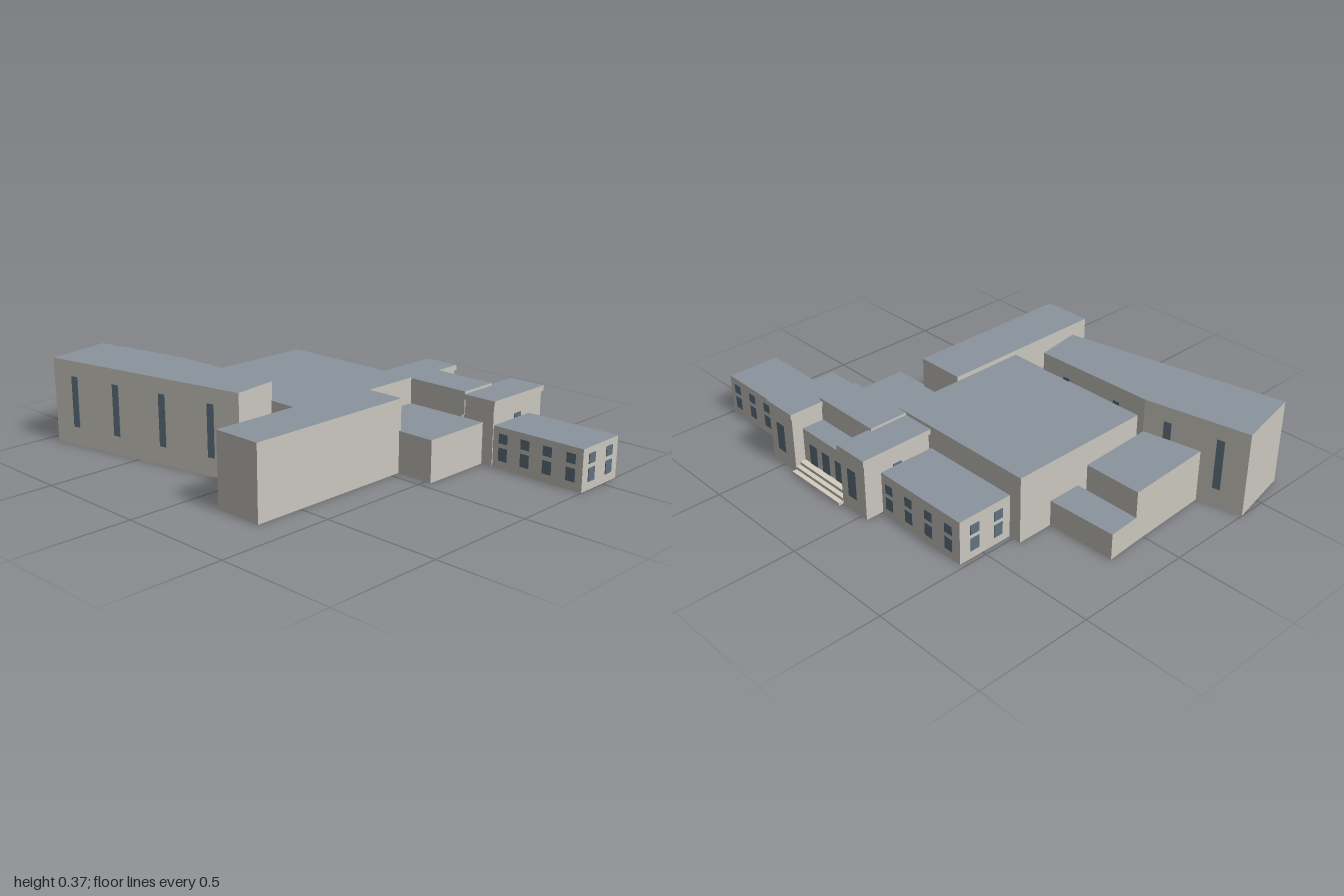
import * as THREE from 'three';

const material = (name, color, side = THREE.DoubleSide) => {
  const m = new THREE.MeshStandardMaterial({ color, side });
  m.name = name;
  return m;
};

export function createModel() {
  const wall = material('wall stone', 0xcac7be);
  const roof = material('roof slate', 0x8b959d);
  const glass = material('window glass', 0x61727f, THREE.FrontSide);
  const stone = material('step stone', 0xd3cdc1, THREE.FrontSide);

  const model = new THREE.Group();
  model.name = 'building';

  const add = (parent, name, geometry, mat) => {
    const mesh = new THREE.Mesh(geometry, mat);
    mesh.name = name;
    parent.add(mesh);
    return mesh;
  };

  // Hollow block, open below; footprint corners [x, z] run NW, SW, SE, NE
  function block(name, points, top, bottom = 0) {
    const group = new THREE.Group();
    group.name = name;
    model.add(group);
    const pos = [];
    points.forEach(([ax, az], i) => {
      const [bx, bz] = points[(i + 1) % points.length];
      pos.push(ax, bottom, az, bx, bottom, bz, bx, top, bz);
      pos.push(ax, bottom, az, bx, top, bz, ax, top, az);
    });
    const sides = new THREE.BufferGeometry();
    sides.setAttribute('position', new THREE.Float32BufferAttribute(pos, 3));
    sides.computeVertexNormals();
    add(group, 'walls', sides, wall);
    const shape = new THREE.Shape(points.map(([x, z]) => new THREE.Vector2(x, -z)));
    const lid = new THREE.ShapeGeometry(shape).rotateX(-Math.PI / 2).translate(0, top, 0);
    add(group, 'roof', lid, roof);
    return group;
  }

  const rect = (x0, x1, z0, z1) => [[x0, z0], [x0, z1], [x1, z1], [x1, z0]];

  // Thin pane on a wall; angle turns its face from +z about the vertical
  function pane(parent, x, z, y0, y1, width, angle) {
    const p = add(parent, 'window', new THREE.BoxGeometry(width, y1 - y0, 0.006), glass);
    p.position.set(x, (y0 + y1) / 2, z);
    p.rotation.y = angle;
  }
  const EAST = Math.PI / 2, WEST = -Math.PI / 2, NORTH = Math.PI, SOUTH = 0;

  // Two storeys of windows
  function storeys(parent, x, z, angle) {
    pane(parent, x, z, 0.108, 0.149, 0.042, angle);
    pane(parent, x, z, 0.035, 0.09, 0.042, angle);
  }

  // Main hall and plain blocks around it
  block('mainHall', rect(-0.28, 0.36, -0.535, 0.145), 0.287);
  block('westWing', rect(-0.71, 0.052, 0.145, 0.36), 0.307);
  block('southAnnex', rect(0.042, 0.36, 0.145, 0.525), 0.175);
  block('rearAnnex', [[-0.333, -0.81], [-0.285, -0.565], [0.05, -0.577], [0.05, -0.827]], 0.225);
  block('lowRearAnnex', [[0.05, -0.827], [0.05, -0.535], [0.2, -0.535], [0.19, -0.836]], 0.112);

  // Skewed auditorium with tall slit windows along both long sides
  const nw = [-0.667, -0.942], sw = [-0.477, 0.005], se = [-0.275, -0.026];
  const bend = [-0.288, -0.56], ne = [-0.376, -1];
  const auditorium = block('auditorium', [nw, sw, se, bend, ne], 0.365);
  function slit(a, b, z) {
    const dx = b[0] - a[0], dz = b[1] - a[1];
    const x = a[0] + dx * (z - a[1]) / dz;
    pane(auditorium, x, z, 0.08, 0.3, 0.033, Math.atan2(-dz, dx));
  }
  for (const z of [-0.83, -0.61, -0.37, -0.13]) slit(nw, sw, z);
  for (const z of [-0.42, -0.155]) slit(se, bend, z);
  for (const z of [-0.885, -0.663]) slit(bend, ne, z);

  // Low classroom wings either side of the entrance
  const southWing = block('southWing', rect(0.36, 0.597, 0.58, 1), 0.175);
  for (const z of [0.948, 0.84, 0.735, 0.63]) {
    storeys(southWing, 0.597, z, EAST);
    storeys(southWing, 0.36, z, WEST);
  }
  const northWing = block('northWing', rect(0.36, 0.61, -0.48, -0.04), 0.187);
  for (const z of [-0.085, -0.197, -0.31, -0.42]) storeys(northWing, 0.61, z, EAST);
  for (const x of [0.42, 0.538]) {
    storeys(southWing, x, 1, SOUTH);
    storeys(northWing, x, -0.48, NORTH);
  }

  // Entrance towers with overhanging cornices
  for (const [side, z0, z1, outer, angle] of [
    ['south', 0.42, 0.575, 0.573, SOUTH],
    ['north', -0.035, 0.115, -0.033, NORTH],
  ]) {
    const tower = block(side + 'Tower', rect(0.365, 0.684, z0 + 0.002, z1 - 0.002), 0.25);
    const mid = (z0 + z1) / 2;
    pane(tower, 0.684, mid + (side === 'south' ? 0.007 : 0.005), 0.065, 0.192, 0.05, EAST);
    pane(tower, 0.525, outer, 0.065, 0.192, 0.042, angle);
    const cornice = block(side + 'Cornice', rect(0.36, 0.692, z0 - 0.005, z1 + 0.005), 0.273, 0.25);
    const soffit = new THREE.PlaneGeometry(0.332, z1 - z0 + 0.01).rotateX(Math.PI / 2);
    add(cornice, 'soffit', soffit, wall).position.set(0.526, 0.25, mid);
  }

  // Entrance hall between the towers, with doors and raised upper storey
  const porch = block('entranceHall', rect(0.36, 0.637, 0.115, 0.42), 0.187);
  for (const z of [0.355, 0.274, 0.19]) pane(porch, 0.637, z, 0.042, 0.135, 0.048, EAST);
  block('entranceUpperStorey', rect(0.36, 0.537, 0.105, 0.43), 0.284, 0.187);

  // Entrance steps
  const steps = new THREE.Group();
  steps.name = 'entranceSteps';
  model.add(steps);
  for (let i = 0; i < 3; i++) {
    const depth = 0.068 - i * 0.0205;
    const step = add(steps, 'step', new THREE.BoxGeometry(depth, 0.0135, 0.305), stone);
    step.position.set(0.637 + depth / 2, 0.00675 + i * 0.0135, 0.2675);
  }

  return model;
}
